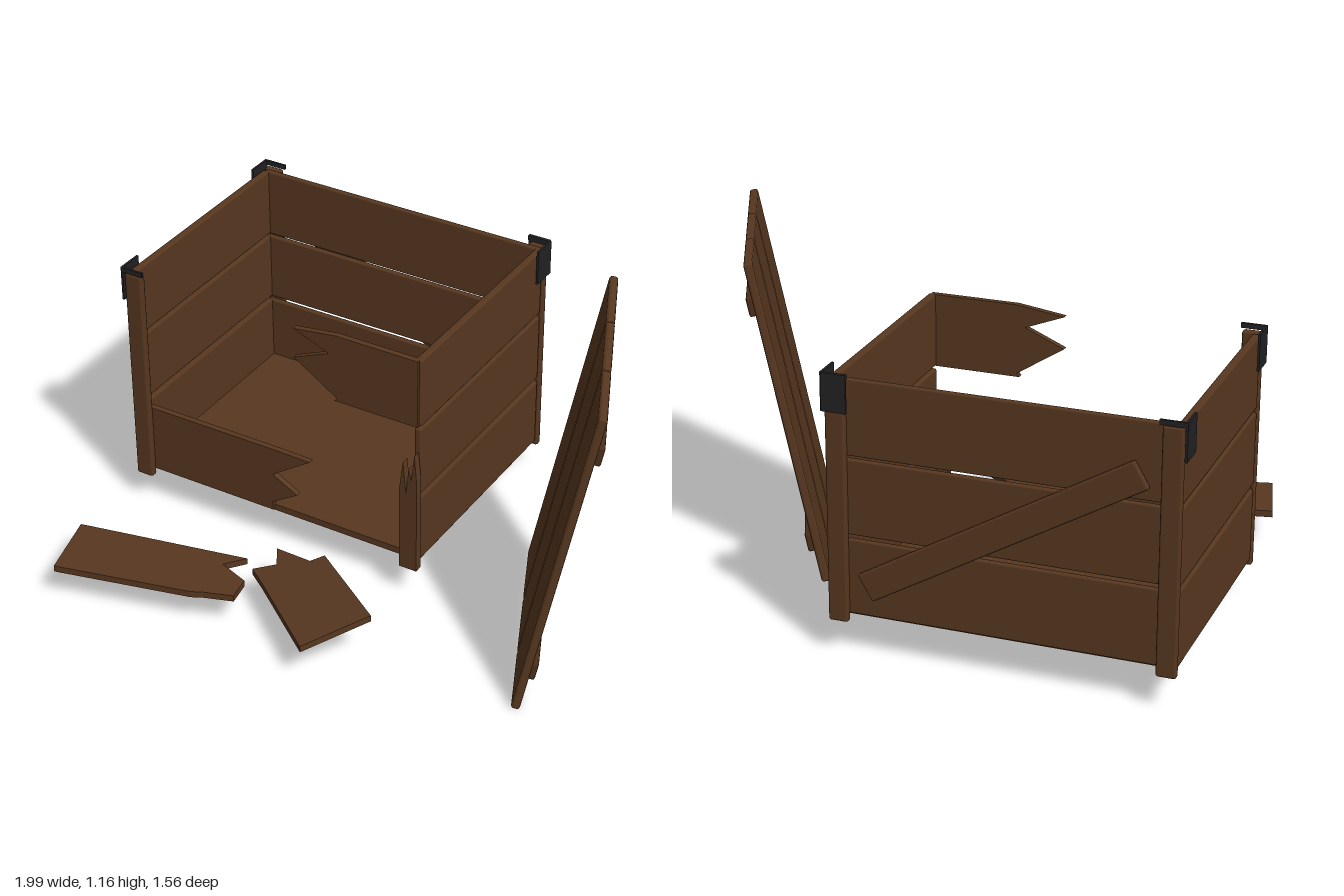
import * as THREE from 'three';
import { RoundedBoxGeometry } from 'three/addons/geometries/RoundedBoxGeometry.js';

const wood = new THREE.MeshStandardMaterial({ color: 0x583820 });
const darkWood = new THREE.MeshStandardMaterial({ color: 0x4a2e1a });
const metal = new THREE.MeshStandardMaterial({ color: 0x222224 });

function add(parent, name, geometry, material, x = 0, y = 0, z = 0) {
  const mesh = new THREE.Mesh(geometry, material);
  mesh.name = name;
  mesh.position.set(x, y, z);
  parent.add(mesh);
  return mesh;
}

// Plank with slightly worn edges
function plank(parent, name, w, h, d, x, y, z, material = wood) {
  const r = Math.min(w, h, d) * 0.3;
  return add(parent, name, new RoundedBoxGeometry(w, h, d, 1, r), material, x, y, z);
}

// Splintered board cut from an outline, thickness along z
function splintered(points, depth) {
  const shape = new THREE.Shape(points.map(([x, y]) => new THREE.Vector2(x, y)));
  return new THREE.ExtrudeGeometry(shape, { depth, bevelEnabled: false });
}

// Board lying flat: outline in x/z, lifted by a sloping plane
function flatBoard(points, thickness, slopeX, slopeZ, base) {
  const g = splintered(points.map(([x, z]) => [x, -z]), thickness);
  g.rotateX(-Math.PI / 2);
  const p = g.attributes.position;
  for (let i = 0; i < p.count; i++) {
    p.setY(i, p.getY(i) + base + slopeX * p.getX(i) + slopeZ * p.getZ(i));
  }
  g.computeVertexNormals();
  return g;
}

function createCrate() {
  const crate = new THREE.Group();
  crate.name = 'crate';
  const cx = -0.4, cz = -0.32;

  add(crate, 'floor', new THREE.BoxGeometry(1.14, 0.025, 0.85), wood, cx, 0.163, cz);

  // Three rows of boards on the sides and back
  for (const y of [0.287, 0.565, 0.838]) {
    for (const s of [-1, 1]) {
      plank(crate, 'sideBoard', 0.028, 0.262, 0.85, cx + s * 0.57, y, cz);
    }
    plank(crate, 'backBoard', 1.15, 0.262, 0.022, cx, y, -0.745);
  }

  // Corner posts; the front one on the left is snapped off
  for (const [x, z] of [[-0.952, -0.765], [0.153, -0.765], [-0.952, 0.125]]) {
    plank(crate, 'cornerPost', 0.068, 0.84, 0.03, x, 0.55, z);
  }
  add(crate, 'brokenPost', splintered([
    [0.12, 0.13], [0.188, 0.13], [0.188, 0.5], [0.178, 0.61], [0.166, 0.5],
    [0.156, 0.55], [0.146, 0.44], [0.134, 0.57], [0.12, 0.46],
  ], 0.03), wood, 0, 0, 0.11);

  // Diagonal brace across the back
  plank(crate, 'backBrace', 1.06, 0.1, 0.024, -0.4, 0.53, -0.767).rotation.z = -0.53;

  // Remains of the front boards
  add(crate, 'brokenLowerFrontBoard', splintered([
    [-0.975, 0.157], [-0.41, 0.157], [-0.415, 0.19], [-0.31, 0.255],
    [-0.41, 0.31], [-0.255, 0.415], [-0.4, 0.418], [-0.975, 0.418],
  ], 0.022), wood, 0, 0, 0.093);
  add(crate, 'brokenUpperFrontBoard', splintered([
    [0.175, 0.968], [-0.14, 0.968], [-0.31, 0.945], [-0.17, 0.89],
    [-0.31, 0.83], [-0.14, 0.72], [-0.15, 0.708], [0.175, 0.708],
  ], 0.022), wood, 0, 0, 0.093);

  // Metal corner brackets
  for (const [sx, sz] of [[-1, -1], [1, -1], [-1, 1]]) {
    const bracket = new THREE.Group();
    bracket.name = 'cornerBracket';
    const x = cx + sx * 0.595, z = cz + sz * 0.457;
    add(bracket, 'sidePlate', new THREE.BoxGeometry(0.008, 0.13, 0.095), metal, x, 0.925, z - sz * 0.045);
    add(bracket, 'topLip', new THREE.BoxGeometry(0.085, 0.018, 0.008), metal, x - sx * 0.043, 0.981, z);
    if (sx > 0) {
      add(bracket, 'backPlate', new THREE.BoxGeometry(0.085, 0.13, 0.008), metal, x - sx * 0.043, 0.925, z - 0.004);
    }
    crate.add(bracket);
  }
  return crate;
}

// Lid stood on edge beside the crate
function createLid() {
  const lid = new THREE.Group();
  lid.name = 'lid';
  for (const i of [-1, 0, 1]) {
    plank(lid, 'lidPlank', 0.281, 1.185, 0.03, i * 0.29, 0, 0, wood);
  }
  for (const y of [-0.45, 0.43]) {
    plank(lid, 'lidBatten', 0.79, 0.07, 0.024, 0, y, 0.026, darkWood);
  }
  lid.rotation.order = 'YXZ';
  lid.rotation.set(0.2, 1.993, 0);
  lid.position.set(0.695, 0.593, 0.045);
  return lid;
}

export function createModel() {
  const model = new THREE.Group();
  model.name = 'brokenCrate';
  model.add(createCrate(), createLid());

  // Two halves of the front board that broke away
  add(model, 'fallenBoardLeft', flatBoard([
    [-0.95, 0.53], [-0.885, 0.775], [-0.4, 0.655], [-0.36, 0.635], [-0.26, 0.6],
    [-0.275, 0.51], [-0.39, 0.47], [-0.335, 0.4],
  ], 0.024, 0, 0, 0.13), wood);
  add(model, 'fallenBoardRight', flatBoard([
    [0.235, 0.52], [-0.085, 0.295], [-0.12, 0.335], [-0.27, 0.31], [-0.225, 0.385],
    [-0.295, 0.43], [-0.22, 0.485], [0.085, 0.725],
  ], 0.024, 0.155, -0.135, 0.224), wood);
  return model;
}
